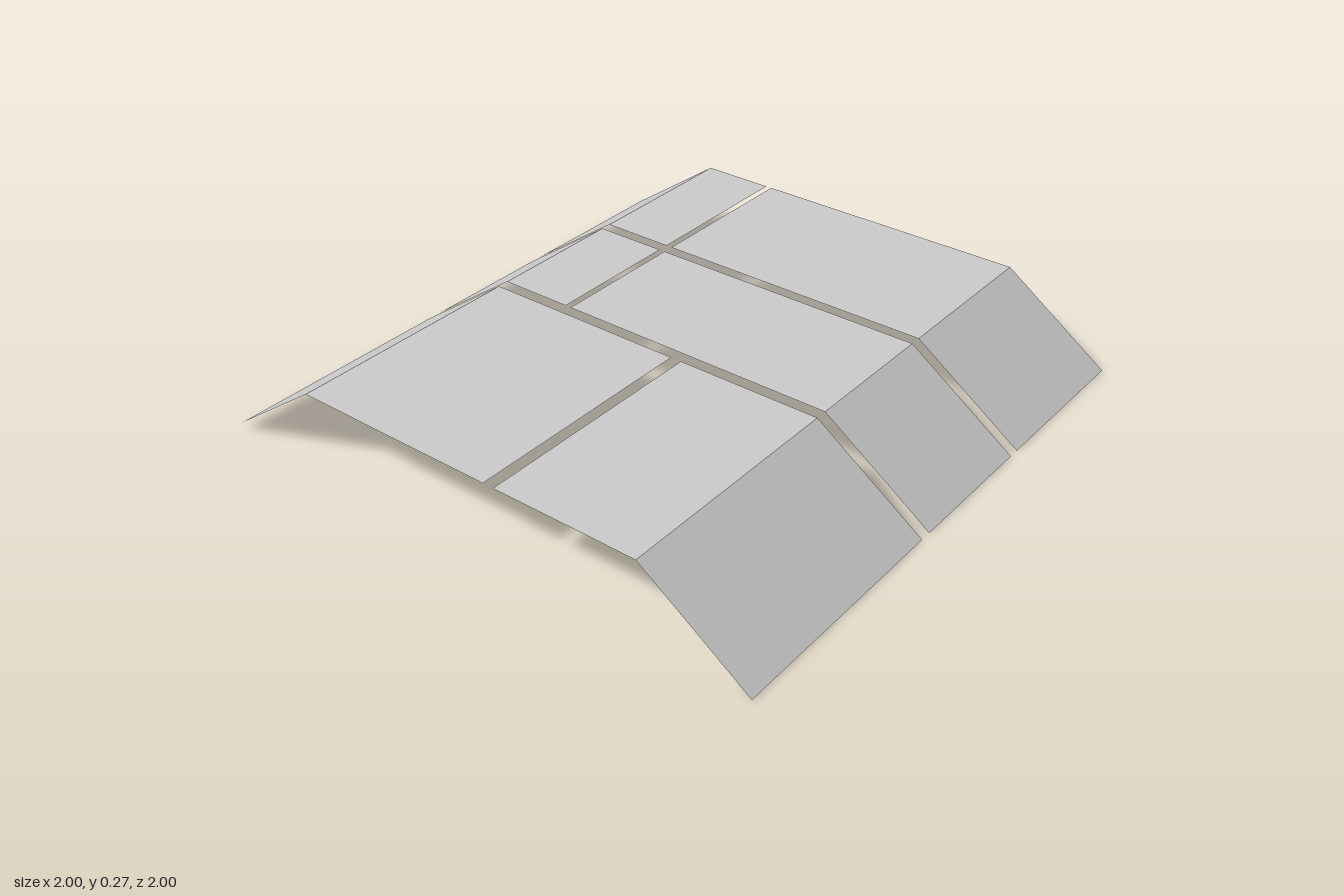
import * as THREE from 'three';

const material = new THREE.MeshStandardMaterial({ color: 0xcccccc, flatShading: true, side: THREE.DoubleSide });

// Thin folded sheet: an (x, y) profile swept from zBack to zFront
function foldedSheet(profile, zBack, zFront) {
  const positions = [];
  for (let i = 0; i < profile.length - 1; i++) {
    const [x0, y0] = profile[i], [x1, y1] = profile[i + 1];
    positions.push(x0, y0, zBack, x0, y0, zFront, x1, y1, zFront);
    positions.push(x0, y0, zBack, x1, y1, zFront, x1, y1, zBack);
  }
  const geometry = new THREE.BufferGeometry();
  geometry.setAttribute('position', new THREE.Float32BufferAttribute(positions, 3));
  geometry.computeVertexNormals();
  return geometry;
}

export function createModel() {
  const group = new THREE.Group();
  group.name = 'foldedPanels';
  const top = 0.268;

  // Rows of panels, each split by a gap across the flat top
  const rows = [
    { name: 'back', z: [-1, -0.404], gap: [-0.393, -0.372] },
    { name: 'middle', z: [-0.366, 0.124], gap: [-0.393, -0.372] },
    { name: 'front', z: [0.164, 1], gap: [0.077, 0.115] },
  ];
  for (const { name, z, gap } of rows) {
    const sides = {
      RightPanel: [[-1, 0.022], [-0.653, top], [gap[0], top]],
      LeftPanel: [[gap[1], top], [0.622, top], [1, 0]],
    };
    for (const [side, profile] of Object.entries(sides)) {
      const panel = new THREE.Mesh(foldedSheet(profile, z[0], z[1]), material);
      panel.name = name + side;
      group.add(panel);
    }
  }
  return group;
}
